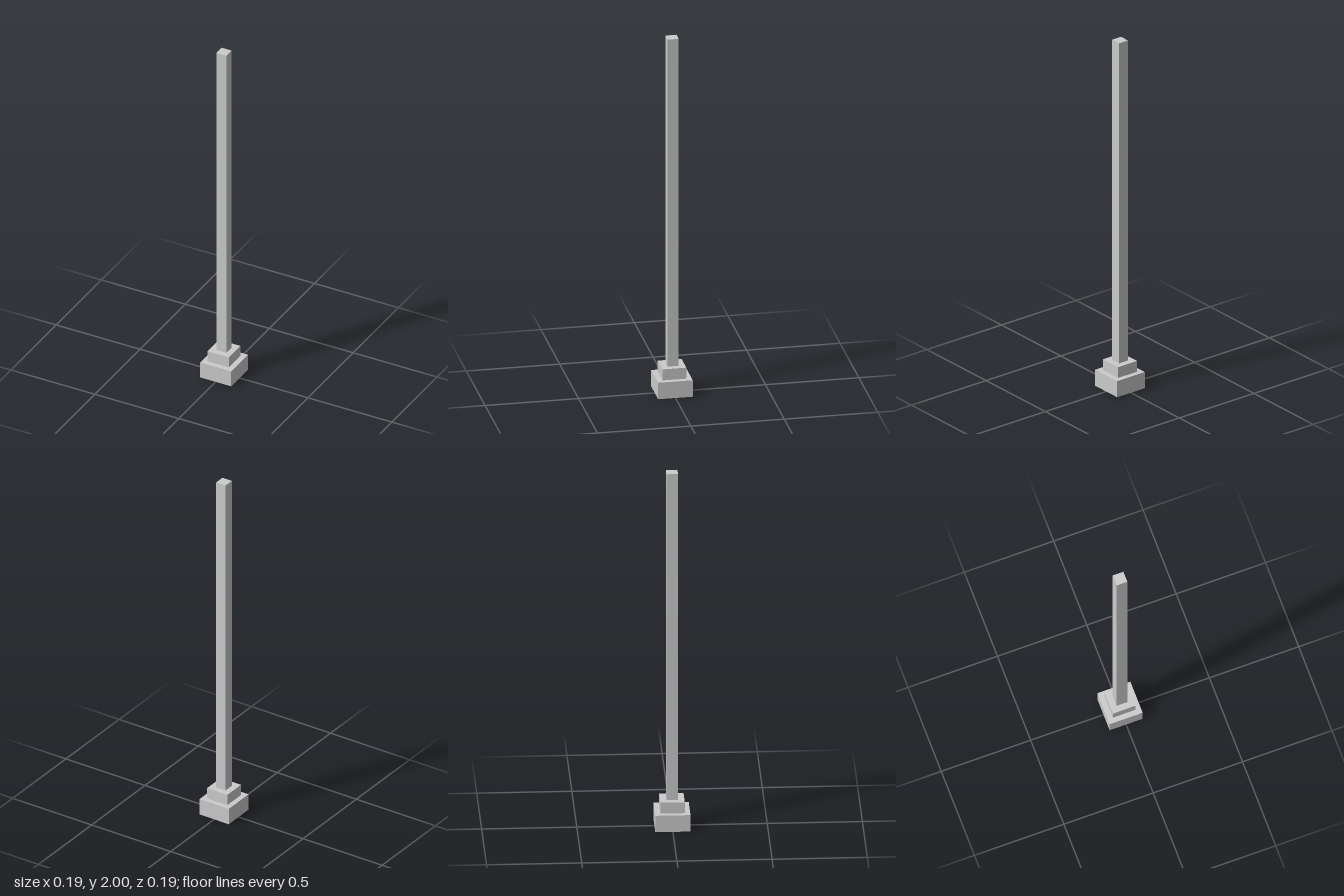
import * as THREE from 'three';

const material = new THREE.MeshStandardMaterial({ color: 0xcccccc });

// Square block standing between two heights
function block(name, width, bottom, top) {
  const mesh = new THREE.Mesh(new THREE.BoxGeometry(width, top - bottom, width), material);
  mesh.name = name;
  mesh.position.y = (bottom + top) / 2;
  return mesh;
}

export function createModel() {
  const group = new THREE.Group();
  group.name = 'post';
  group.add(
    block('base', 0.185, 0, 0.093),
    block('plinth', 0.128, 0.093, 0.155),
    block('shaft', 0.06, 0.155, 2),
  );
  return group;
}
